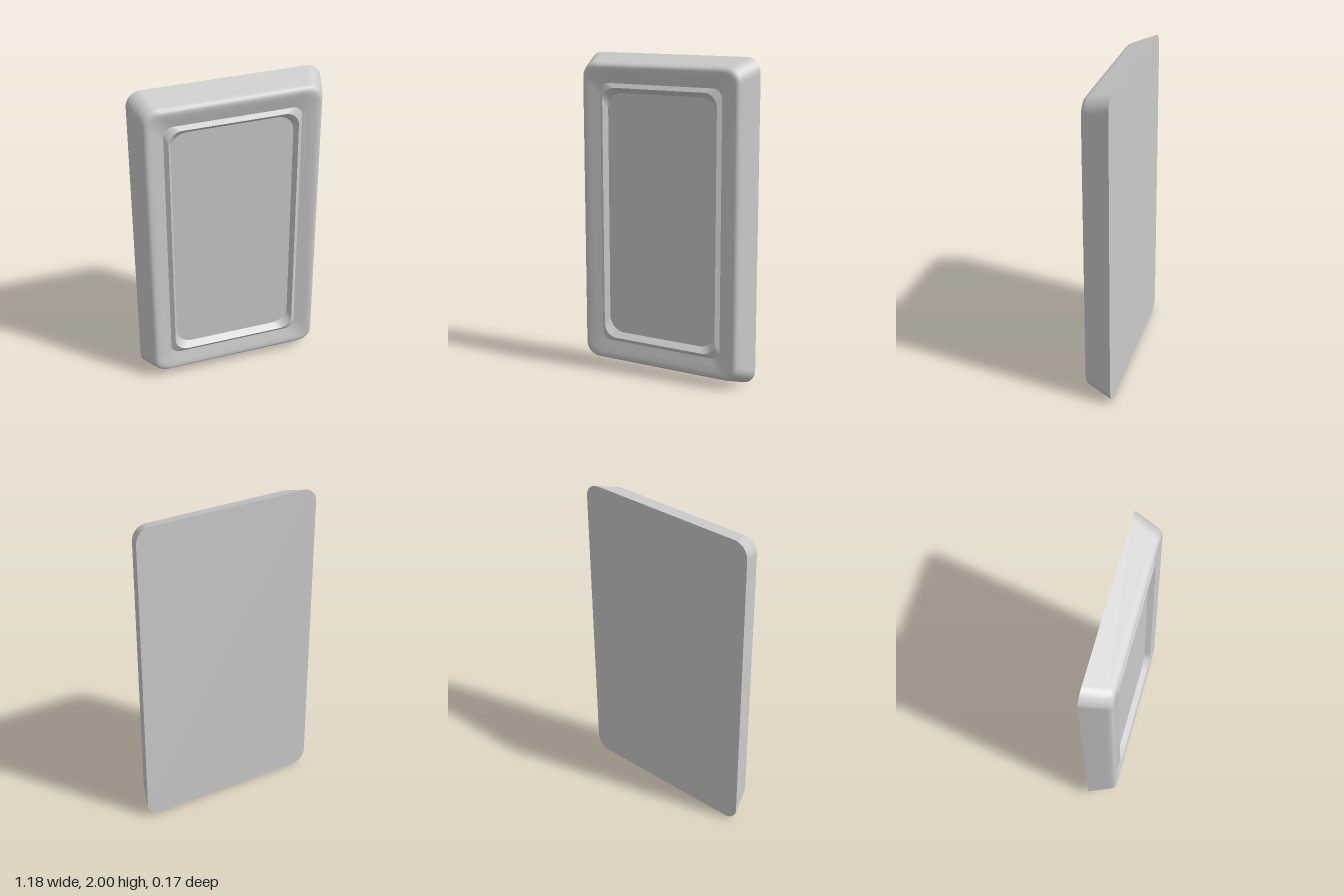
import * as THREE from 'three';

const CORNER_STEPS = 10;

// Rounded rectangle outline, counter-clockwise seen from the front
function outline(halfW, halfH, radius) {
  const points = [];
  const corners = [[1, 1], [-1, 1], [-1, -1], [1, -1]];
  corners.forEach(([sx, sy], c) => {
    for (let k = 0; k <= CORNER_STEPS; k++) {
      const a = (c + k / CORNER_STEPS) * Math.PI / 2;
      points.push(new THREE.Vector2(
        sx * (halfW - radius) + radius * Math.cos(a),
        sy * (halfH - radius) + radius * Math.sin(a)));
    }
  });
  return points;
}

// Smooth band through rings of [halfWidth, halfHeight, cornerRadius, z]
function loft(rings) {
  const positions = [], index = [];
  const n = 4 * (CORNER_STEPS + 1);
  rings.forEach(([w, h, r, z], i) => {
    outline(w, h, r).forEach((p) => positions.push(p.x, p.y, z));
    if (i === 0) return;
    for (let j = 0; j < n; j++) {
      const k = (j + 1) % n;
      const a = (i - 1) * n + j, b = (i - 1) * n + k;
      const c = i * n + k, d = i * n + j;
      index.push(a, b, c, a, c, d);
    }
  });
  const geometry = new THREE.BufferGeometry();
  geometry.setAttribute('position', new THREE.Float32BufferAttribute(positions, 3));
  geometry.setIndex(index);
  geometry.computeVertexNormals();
  return geometry;
}

// Flat face filling one ring
function cap([w, h, r, z], facesBack) {
  const geometry = new THREE.ShapeGeometry(new THREE.Shape(outline(w, h, r)));
  if (facesBack) geometry.rotateY(Math.PI);
  return geometry.translate(0, 0, z);
}

export function createModel() {
  const group = new THREE.Group();
  const material = new THREE.MeshStandardMaterial({ color: 0xcccccc });
  const add = (name, geometry) => {
    const mesh = new THREE.Mesh(geometry, material);
    mesh.name = name;
    mesh.position.y = 1;
    group.add(mesh);
  };

  const back = [0.59, 1.0, 0.09, -0.088];
  const frameInner = [0.42, 0.823, 0.06, 0.066];
  const lipTop = [0.395, 0.797, 0.085, 0.084];
  const floor = [0.375, 0.765, 0.1, 0.048];

  // Tapered sides rolling over a soft edge into the slightly dished front
  add('frame', loft([
    back,
    [0.55, 0.955, 0.09, 0.045],
    [0.544, 0.949, 0.09, 0.062],
    [0.538, 0.942, 0.088, 0.075],
    [0.528, 0.932, 0.084, 0.084],
    [0.515, 0.919, 0.08, 0.087],
    [0.495, 0.899, 0.075, 0.085],
    [0.46, 0.863, 0.068, 0.076],
    frameInner,
  ]));
  // Raised rim around the recess
  add('rimOuterBevel', loft([frameInner, lipTop]));
  add('rimInnerWall', loft([lipTop, floor]));
  add('recessedPanel', cap(floor, false));
  add('backPanel', cap(back, true));

  return group;
}
